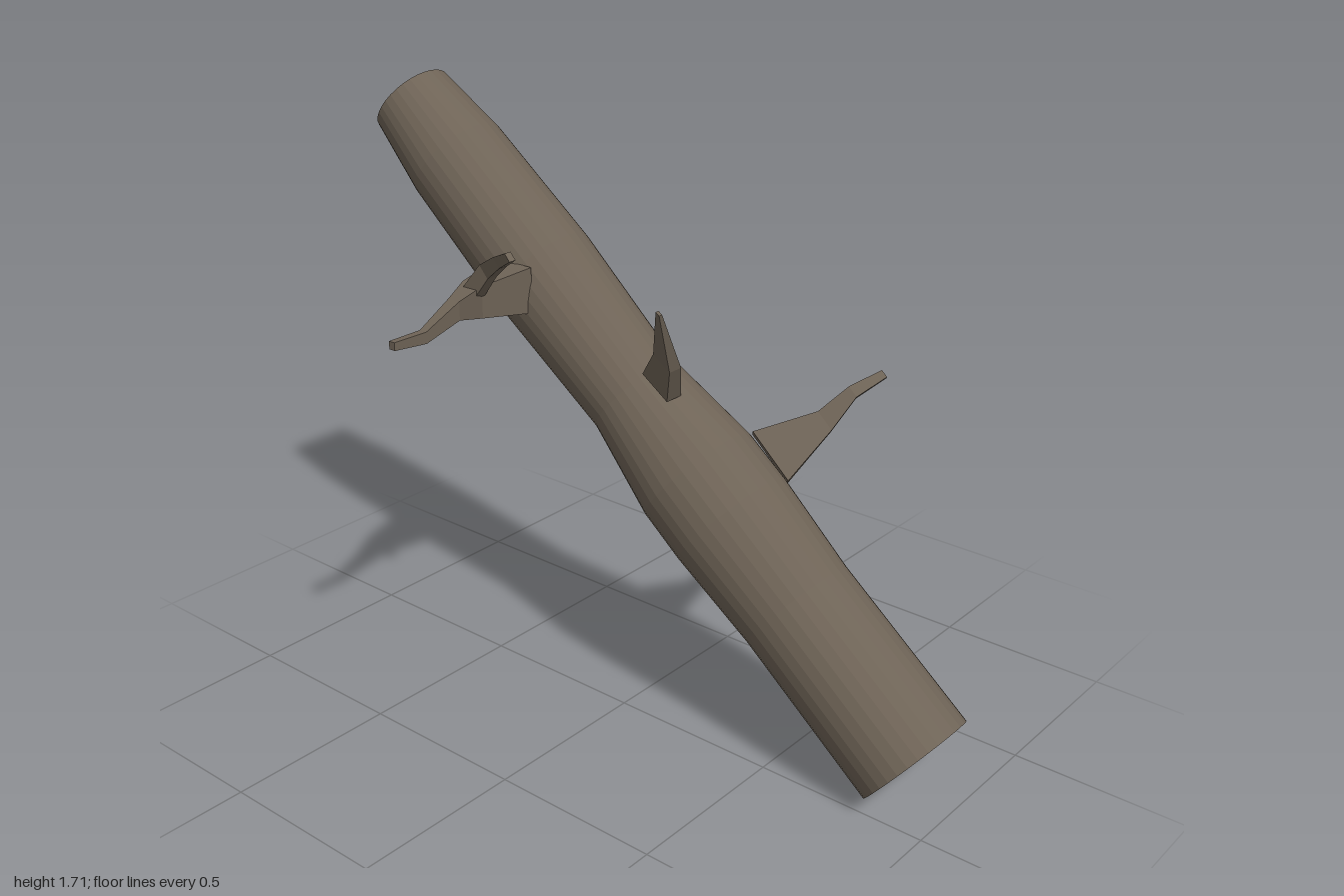
import * as THREE from 'three';

const bark = new THREE.MeshStandardMaterial({ color: 0x6e6356 });
bark.name = 'bark';

// Gives every face its own normal for a faceted look
function facet(geometry) {
  const flat = geometry.index ? geometry.toNonIndexed() : geometry;
  flat.computeVertexNormals();
  return flat;
}

// Four-sided tapering branch. u and v span each cross-section (u x v points
// along the branch); sections are [x, y, z, half size along u, half along v].
function branch(name, u, v, sections) {
  const U = new THREE.Vector3(...u).normalize();
  const V = new THREE.Vector3(...v).normalize();
  const corners = [[1, 1], [-1, 1], [-1, -1], [1, -1]];
  const points = [];
  for (const [x, y, z, hu, hv] of sections) {
    for (const [a, b] of corners) {
      const p = new THREE.Vector3(x, y, z).addScaledVector(U, a * hu).addScaledVector(V, b * hv);
      points.push(p.x, p.y, p.z);
    }
  }
  const index = [0, 2, 1, 0, 3, 2];
  const last = (sections.length - 1) * 4;
  for (let s = 0; s < last; s += 4) {
    for (let i = 0; i < 4; i++) {
      const a = s + i, b = s + (i + 1) % 4;
      index.push(a, b, b + 4, a, b + 4, a + 4);
    }
  }
  index.push(last, last + 1, last + 2, last, last + 2, last + 3);
  const geometry = new THREE.BufferGeometry();
  geometry.setAttribute('position', new THREE.Float32BufferAttribute(points, 3));
  geometry.setIndex(index);
  const mesh = new THREE.Mesh(facet(geometry), bark);
  mesh.name = name;
  return mesh;
}

export function createModel() {
  const model = new THREE.Group();
  model.name = 'leaningLog';

  // Trunk: radius against length, leaning backwards, closed at both ends
  const profile = [
    [0, 0], [0.17, 0], [0.168, 0.51], [0.182, 0.8], [0.181, 0.955],
    [0.143, 1.235], [0.16, 1.69], [0.15, 2.11], [0.123, 2.343], [0, 2.343],
  ].map(([r, t]) => new THREE.Vector2(r, t));
  const trunk = new THREE.Mesh(facet(new THREE.LatheGeometry(profile, 32)), bark);
  trunk.name = 'trunk';
  trunk.position.set(0.13, 0.1325, 0.8925);
  trunk.rotation.x = -0.883;
  model.add(trunk);

  // Low branch on the left
  model.add(branch('leftBranch', [0, -0.67, 0.74], [0.7, -0.5, -0.5], [
    [0.262, 0.786, 0.302, 0.083, 0.04],
    [0.385, 0.878, 0.392, 0.032, 0.02],
    [0.45, 0.955, 0.435, 0.018, 0.015],
    [0.535, 0.995, 0.48, 0.012, 0.01],
  ]));

  // Middle branch on the upper face
  model.add(branch('middleBranch', [0, -0.57, 0.82], [1, 0, 0], [
    [0.07, 1.0, 0.073, 0.052, 0.03],
    [0.015, 1.1, 0.135, 0.034, 0.024],
    [-0.095, 1.275, 0.195, 0.007, 0.006],
  ]));

  // High branch on the right, with a twig rising from it
  model.add(branch('rightBranch', [0, 0, 1], [0, 1, 0], [
    [-0.01, 1.2, -0.39, 0.065, 0.066],
    [-0.19, 1.21, -0.372, 0.036, 0.045],
    [-0.31, 1.226, -0.32, 0.02, 0.026],
    [-0.435, 1.188, -0.307, 0.012, 0.016],
    [-0.545, 1.195, -0.305, 0.01, 0.011],
  ]));
  model.add(branch('twig', [1, 0, 0], [0, 0.75, -0.66], [
    [-0.2, 1.21, -0.38, 0.022, 0.025],
    [-0.2, 1.31, -0.3, 0.018, 0.022],
    [-0.225, 1.355, -0.23, 0.016, 0.017],
    [-0.282, 1.4, -0.138, 0.011, 0.013],
  ]));

  return model;
}
